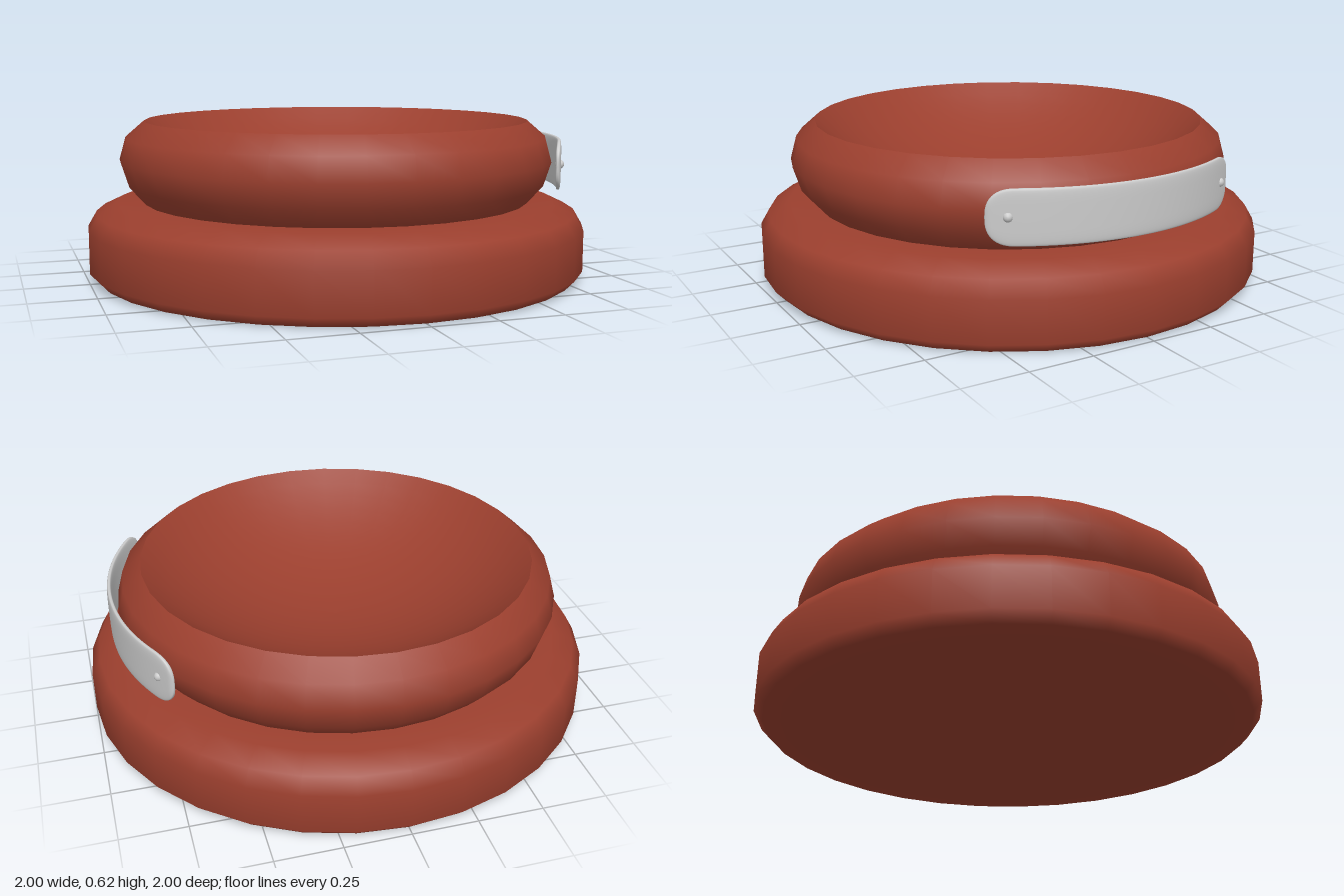
import * as THREE from 'three';

const clay = new THREE.MeshStandardMaterial({ color: 0x9b3f2e });
const grey = new THREE.MeshStandardMaterial({ color: 0xcccccc });

// Turned part from [radius, height] points
function turned(name, points) {
  const geometry = new THREE.LatheGeometry(points.map(([r, y]) => new THREE.Vector2(r, y)), 32);
  const mesh = new THREE.Mesh(geometry, clay);
  mesh.name = name;
  return mesh;
}

const PLATE_RADIUS = 0.895, PLATE_Y = 0.45, HALF_ANGLE = 0.612;

// Thin plate with rounded ends, bent around the y axis
function bentPlate() {
  const geometry = new THREE.PlaneGeometry(2, 2 * Math.PI, 64, 32);
  const pos = geometry.attributes.position;
  const soft = (v, p) => Math.sign(v) * Math.abs(v) ** p;
  const halfLength = PLATE_RADIUS * HALF_ANGLE;
  for (let i = 0; i < pos.count; i++) {
    const s = Math.sin(pos.getX(i) * Math.PI / 2);
    const phi = pos.getY(i);
    const t = Math.max(0, (Math.abs(s) * halfLength - halfLength + 0.11) / 0.11);
    const end = Math.max(0, 1 - t ** 2.5) ** (1 / 2.5);
    const r = PLATE_RADIUS + 0.01 * Math.min(1, end * 1.5) * soft(Math.cos(phi), 0.5);
    const a = s * HALF_ANGLE;
    pos.setXYZ(i, r * Math.cos(a), PLATE_Y + 0.1 * end * soft(Math.sin(phi), 0.5), -r * Math.sin(a));
  }
  geometry.computeVertexNormals();
  const mesh = new THREE.Mesh(geometry, grey);
  mesh.name = 'namePlate';
  return mesh;
}

export function createModel() {
  const model = new THREE.Group();
  model.name = 'bowl';

  // Wide base ring with a closed underside
  model.add(turned('base', [[0, 0], [0.88, 0], [0.965, 0.003], [1, 0.04], [1, 0.2], [0.965, 0.26], [0.88, 0.3], [0.7, 0.3]]));

  // Bulging upper wall
  model.add(turned('upperWall', [[0.775, 0.298], [0.84, 0.37], [0.87, 0.465], [0.845, 0.555], [0.77, 0.62]]));

  // Concave dish: spherical cap from the rim down to the centre
  const rim = 0.77, depth = 0.3;
  const sphere = (rim * rim + depth * depth) / (2 * depth);
  const maxAngle = Math.asin(rim / sphere);
  const dish = [];
  for (let i = 0; i <= 12; i++) {
    const a = maxAngle * (1 - i / 12);
    dish.push([sphere * Math.sin(a), 0.62 - depth + sphere * (1 - Math.cos(a))]);
  }
  model.add(turned('dish', dish));

  // Plate and its two rivets on the left side
  model.add(bentPlate());
  for (const side of [-1, 1]) {
    const rivet = new THREE.Mesh(new THREE.SphereGeometry(0.018, 12, 8), grey);
    const a = side * 0.525;
    rivet.position.set(0.899 * Math.cos(a), PLATE_Y + 0.003, 0.899 * Math.sin(a));
    rivet.name = 'rivet';
    model.add(rivet);
  }
  return model;
}
